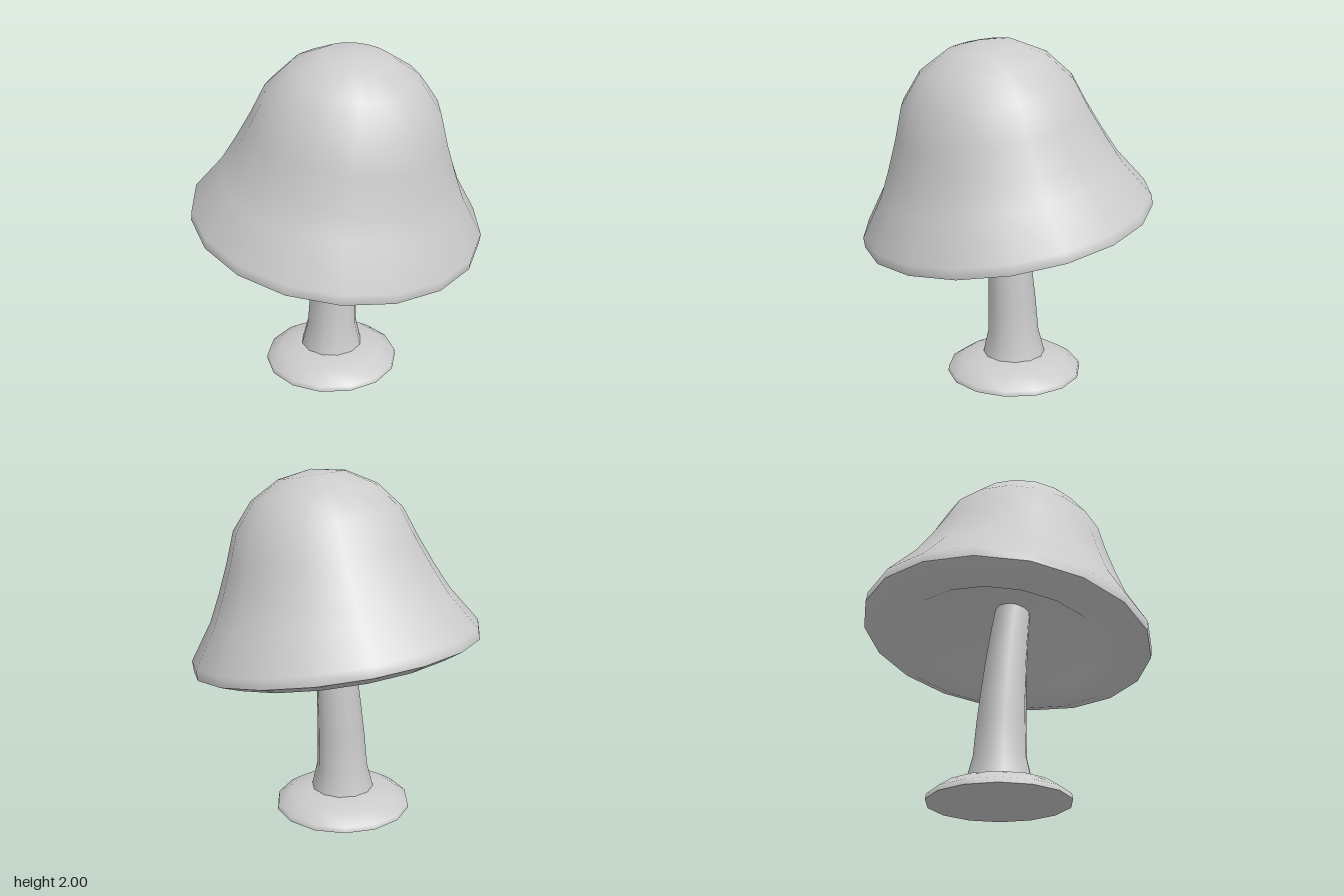
import * as THREE from 'three';

const material = new THREE.MeshStandardMaterial({ color: 0xcccccc });

// Turned part from [radius, height] pairs, listed bottom/inside first
function turned(name, profile, sides) {
  const points = profile.map(([r, y]) => new THREE.Vector2(r, y));
  const geometry = new THREE.LatheGeometry(points, sides);
  // Poles point straight along the axis so the tips shade smoothly
  const normal = geometry.attributes.normal;
  for (let i = 0; i < normal.count; i++) {
    const row = i % profile.length;
    if (profile[row][0] === 0) normal.setXYZ(i, 0, row === 0 ? -1 : 1, 0);
  }
  const mesh = new THREE.Mesh(geometry, material);
  mesh.name = name;
  return mesh;
}

export function createModel() {
  const model = new THREE.Group();
  model.name = 'mushroom';

  // Round foot with a flat bottom
  const foot = new THREE.Group();
  foot.name = 'foot';
  foot.add(
    turned('footTop', [[0.402, 0], [0.397, 0.03], [0.314, 0.085], [0.17, 0.12], [0, 0.12]], 14),
    turned('footBottom', [[0, 0], [0.402, 0]], 14)
  );
  foot.position.z = -0.05;
  model.add(foot);

  // Stem: tapered, bending forward as it rises
  const stem = turned('stem', [
    [0.185, 0.115], [0.15, 0.26], [0.141, 0.45], [0.132, 0.62],
    [0.123, 0.8], [0.116, 0.95], [0.109, 1.1], [0.102, 1.25]
  ], 12);
  const pos = stem.geometry.attributes.position;
  for (let i = 0; i < pos.count; i++) {
    const y = pos.getY(i);
    pos.setZ(i, pos.getZ(i) - 0.05 + 0.07 * y * y);
  }
  model.add(stem);

  // Bell-shaped cap, tipped forward, with a lipped, hollow underside
  const cap = new THREE.Group();
  cap.name = 'cap';
  cap.add(
    turned('capTop', [
      [0.842, 0], [0.842, 0.06], [0.7, 0.27], [0.628, 0.42], [0.555, 0.59],
      [0.488, 0.77], [0.361, 0.923], [0.193, 1.018], [0, 1.051]
    ], 18),
    turned('capUnderside', [
      [0, 0.23], [0.1, 0.21], [0.5, 0.05], [0.58, -0.01], [0.716, -0.052], [0.842, 0]
    ], 18)
  );
  cap.position.set(0, 0.965, -0.005);
  cap.rotation.x = THREE.MathUtils.degToRad(10);
  model.add(cap);

  return model;
}
